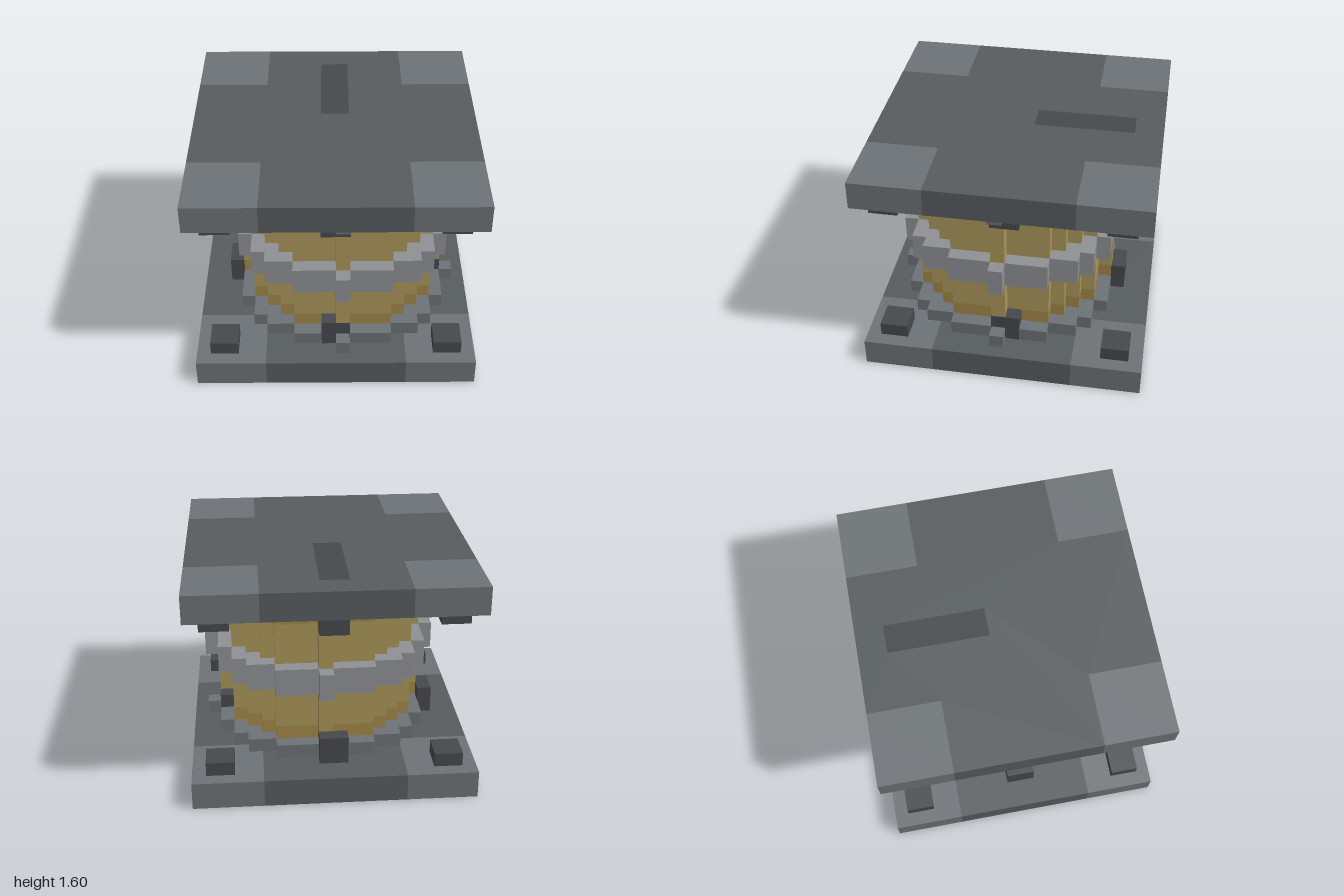
import * as THREE from 'three';

const U = 0.1; // one grid cell
const paint = (color) => new THREE.MeshStandardMaterial({ color, flatShading: true });

const MAT = {
  plate: paint(0x575c5f),
  corner: paint(0x6d7276),
  dark: paint(0x46484c),
  ring: paint(0x6d7276),
  band: paint(0x8e9094),
  gold: paint(0xaa965a),
  goldEnd: paint(0xa28748),
};

function add(group, name, geometry, material, x = 0, y = 0, z = 0) {
  const mesh = new THREE.Mesh(geometry, material);
  mesh.name = name;
  mesh.position.set(x, y, z);
  group.add(mesh);
  return mesh;
}

// Extrude a plan shape (x, -z) upwards
function slab(shape, height) {
  return new THREE.ExtrudeGeometry(shape, { depth: height, bevelEnabled: false }).rotateX(-Math.PI / 2);
}

// Stepped circle made of square cells, radius in cells around a centre cell
function steppedDisc(radius) {
  const right = [];
  let last = 0;
  for (let row = -radius; row <= radius; row++) {
    const half = Math.floor(Math.sqrt(radius * radius - row * row)) + 0.5;
    if (half !== last) {
      if (last) right.push([last, row - 0.5]);
      right.push([half, row - 0.5]);
    }
    last = half;
  }
  right.push([last, radius + 0.5]);
  const left = right.map(([x, y]) => [-x, y]).reverse();
  return new THREE.Shape([...right, ...left].map(([x, y]) => new THREE.Vector2(x * U, y * U)));
}

function crossShape() {
  const quarter = [[1, -0.5], [1, 0.5], [0.5, 0.5]];
  const points = [];
  for (let i = 0; i < 4; i++) {
    for (const [x, y] of quarter) {
      points.push(new THREE.Vector2(x, y).rotateAround(new THREE.Vector2(), i * Math.PI / 2));
    }
  }
  return new THREE.Shape(points);
}

// Square end plate: dark cross with four lighter corners
function endPlate(name, y, withSlot) {
  const plate = new THREE.Group();
  plate.name = name;
  plate.position.y = y;
  const cross = crossShape();
  if (withSlot) {
    // slot inlay, flush with the top
    cross.holes.push(new THREE.Path([[-0.1, 0.1], [-0.1, 0.8], [0.1, 0.8], [0.1, 0.1]]
      .map(([x, v]) => new THREE.Vector2(x, v))));
    add(plate, 'slotInlay', new THREE.BoxGeometry(0.2, 0.2, 0.7), MAT.dark, 0, 0.1, -0.45);
  }
  add(plate, 'plateCross', slab(cross, 0.2), MAT.plate);
  const cornerBox = new THREE.BoxGeometry(0.5, 0.2, 0.5);
  for (const sx of [-1, 1]) for (const sz of [-1, 1]) {
    add(plate, 'plateCorner', cornerBox, MAT.corner, sx * 0.75, 0.1, sz * 0.75);
  }
  return plate;
}

export function createModel() {
  const model = new THREE.Group();
  model.name = 'drumBetweenPlates';
  model.add(endPlate('bottomPlate', 0, false), endPlate('topPlate', 1.4, true));

  // Drum sits half a cell off centre
  const drum = new THREE.Group();
  drum.name = 'drum';
  drum.position.set(0.05, 0, 0.05);
  model.add(drum);
  const inner = steppedDisc(7);
  const outer = steppedDisc(8);
  add(drum, 'drumBody', slab(inner, 0.8), MAT.gold, 0, 0.4);
  add(drum, 'middleBand', slab(outer, 0.2), MAT.band, 0, 0.7);
  for (const y of [0.3, 1.2]) add(drum, 'drumEnd', slab(inner, 0.1), MAT.goldEnd, 0, y);
  for (const y of [0.2, 1.3]) add(drum, 'endRing', slab(outer, 0.1), MAT.ring, 0, y);

  // Studs on the plate corners and clamps at the four sides, slightly proud of the rings
  const stud = new THREE.BoxGeometry(0.2, 0.1, 0.2);
  const clamp = new THREE.BoxGeometry(0.204, 0.204, 0.104);
  for (const [studY, clampY] of [[0.25, 0.3], [1.35, 1.3]]) {
    for (let i = 0; i < 4; i++) {
      const a = i * Math.PI / 2;
      const s = Math.SQRT2 * 0.8;
      add(model, 'cornerStud', stud, MAT.dark,
        s * Math.sin(a + Math.PI / 4), studY, s * Math.cos(a + Math.PI / 4));
      add(model, 'sideClamp', clamp, MAT.dark,
        0.75 * Math.sin(a), clampY, 0.75 * Math.cos(a)).rotation.y = a;
    }
  }
  return model;
}
